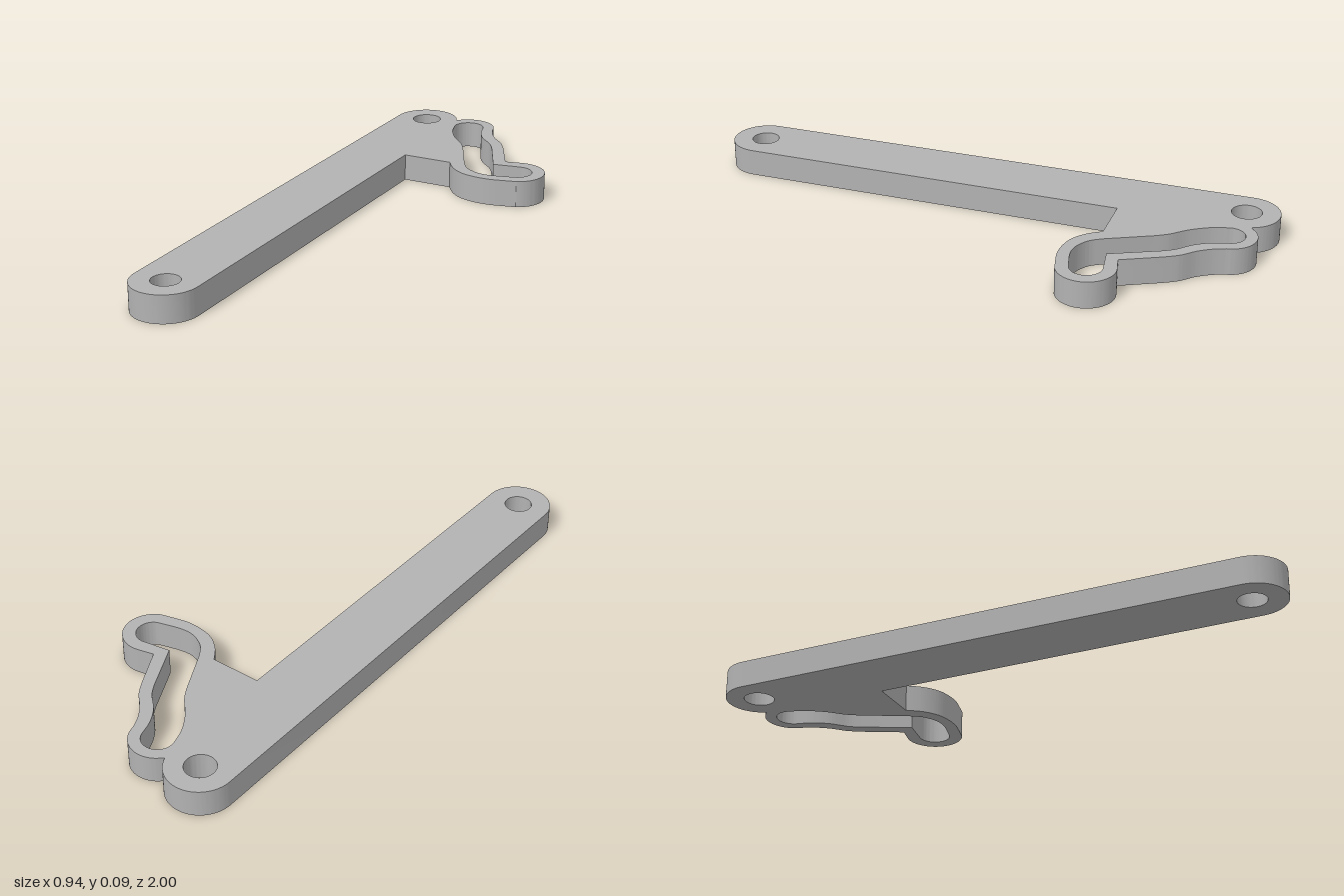
import * as THREE from 'three';
import { toCreasedNormals } from 'three/addons/utils/BufferGeometryUtils.js';

const THICKNESS = 0.095;
const TILT = 0.127;                                   // lean of the arm, radians
const TOP = [-0.127, 0.885], BOTTOM = [-0.354, -0.885]; // pivot centres
const UPPER = [0.056, 0.842], LOWER = [0.368, 0.418];   // slot end centres

const spline = (path, points) => path.splineThru(points.map(p => new THREE.Vector2(...p)));

// Plate outline, drawn counter-clockwise
function plateOutline() {
  const s = new THREE.Shape();
  s.absarc(...BOTTOM, 0.115, Math.PI - TILT, 2 * Math.PI - TILT, false);
  s.lineTo(-0.062, 0.455);
  s.lineTo(0.115, 0.434);
  // rim around the cam slot
  spline(s, [[0.145, 0.381], [0.188, 0.341], [0.24, 0.32], [0.294, 0.312], [0.347, 0.316], [0.394, 0.322]]);
  s.absarc(...LOWER, 0.1, -1.3, 1.67, false);
  s.lineTo(0.3, 0.511);
  s.lineTo(0.25, 0.651);
  spline(s, [[0.226, 0.702], [0.188, 0.751], [0.163, 0.8], [0.151, 0.842]]);
  s.absarc(...UPPER, 0.095, 0, 2.3, false);
  s.absarc(...TOP, 0.115, 0.21, Math.PI - TILT, false);
  s.closePath();
  return s;
}

// Curved cam slot
function slotHole() {
  const h = new THREE.Path();
  h.absarc(...UPPER, 0.055, 0, Math.PI, false);
  spline(h, [[0.013, 0.778], [0.045, 0.709], [0.087, 0.651], [0.11, 0.604]]);
  h.lineTo(0.167, 0.444);
  spline(h, [[0.193, 0.397], [0.241, 0.363], [0.294, 0.354], [0.383, 0.365]]);
  h.absarc(...LOWER, 0.055, -1.3, 1.67, false);
  h.lineTo(0.267, 0.468);
  h.lineTo(0.209, 0.64);
  spline(h, [[0.188, 0.683], [0.146, 0.735], [0.121, 0.79], [0.111, 0.842]]);
  return h;
}

const pivotHole = (centre, r) => new THREE.Path().absarc(...centre, r, 0, Math.PI * 2, false);

export function createModel() {
  const grey = new THREE.MeshStandardMaterial({ color: 0xb2b2b2 });
  grey.name = 'grey';

  const shape = plateOutline();
  shape.holes.push(slotHole(), pivotHole(TOP, 0.052), pivotHole(BOTTOM, 0.048));

  // Lay the extrusion flat on the ground
  const geometry = new THREE.ExtrudeGeometry(shape, { depth: THICKNESS, bevelEnabled: false, curveSegments: 24 });
  geometry.rotateX(-Math.PI / 2);

  const lever = new THREE.Mesh(toCreasedNormals(geometry, 0.5), grey);
  lever.name = 'slottedLever';

  const group = new THREE.Group();
  group.name = 'leverArm';
  group.add(lever);
  return group;
}
